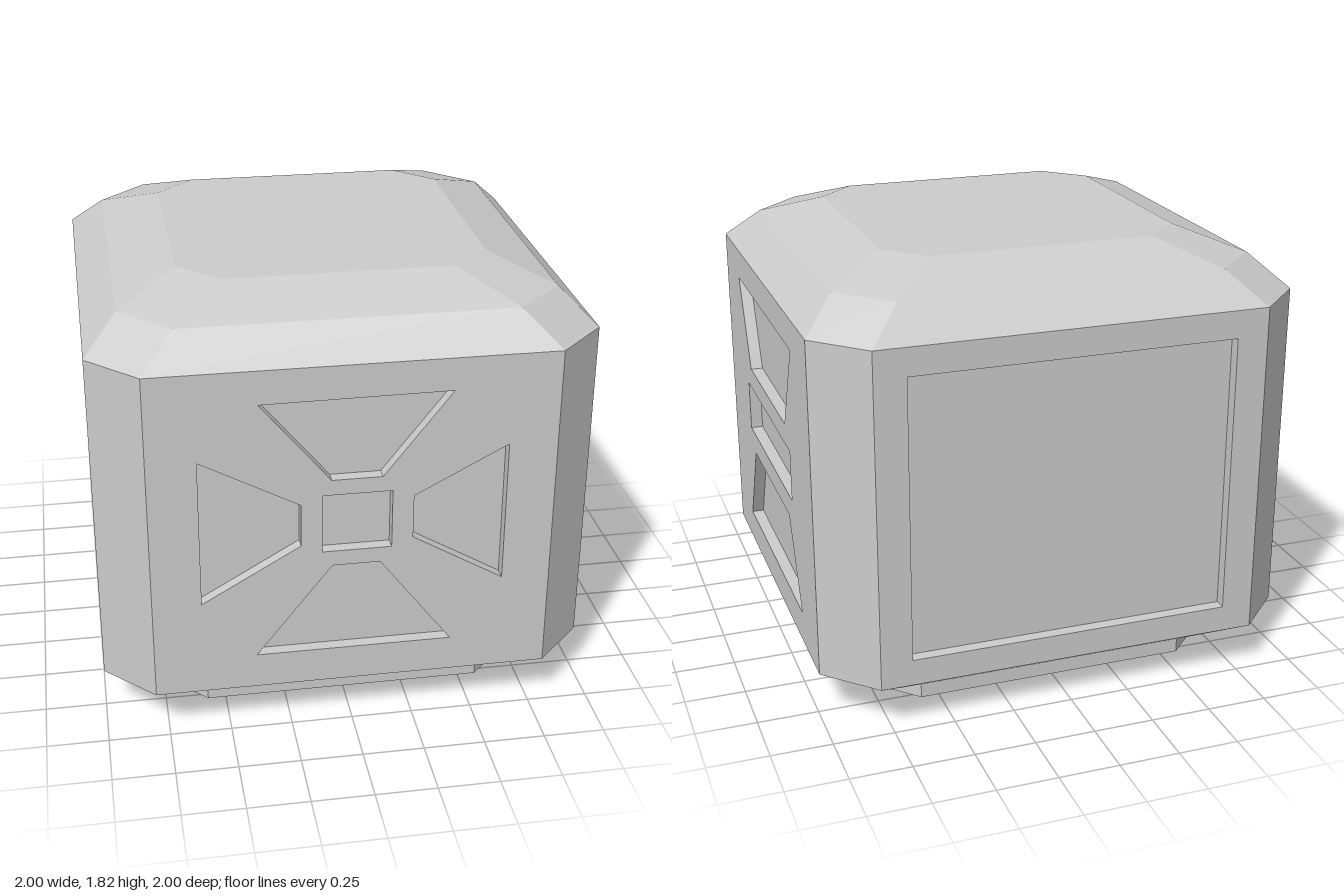
import * as THREE from 'three';

const material = new THREE.MeshStandardMaterial({ color: 0xcccccc, flatShading: true });
const DEPTH = 0.05;

function addMesh(parent, name, geometry) {
  const mesh = new THREE.Mesh(geometry, material);
  mesh.name = name;
  parent.add(mesh);
  return mesh;
}

function fromPoints(points) {
  const geometry = new THREE.BufferGeometry().setFromPoints(points);
  geometry.computeVertexNormals();
  return geometry;
}

// Square ring with cut corners: half width h, half length c of the straight edges
function ring(y, h, c) {
  return [[-c, h], [c, h], [h, c], [h, -c], [c, -h], [-c, -h], [-h, -c], [-h, c]]
    .map(([x, z]) => new THREE.Vector3(x, y, z));
}

// Skin between rings listed from bottom to top, with optional caps
function loft(rings, { cornersOnly = false, top = false, bottom = false } = {}) {
  const pts = [];
  for (let r = 0; r < rings.length - 1; r++) {
    const lo = rings[r], hi = rings[r + 1];
    for (let i = 0; i < 8; i++) {
      if (cornersOnly && i % 2 === 0) continue;
      const j = (i + 1) % 8;
      pts.push(lo[i], lo[j], hi[j], lo[i], hi[j], hi[i]);
    }
  }
  const first = rings[0], last = rings[rings.length - 1];
  for (let i = 1; i < 7; i++) {
    if (top) pts.push(last[0], last[i], last[i + 1]);
    if (bottom) pts.push(first[0], first[i + 1], first[i]);
  }
  return fromPoints(pts);
}

// Clockwise outlines of the recesses
const rect = (x0, x1, y0, y1) => [[x0, y1], [x1, y1], [x1, y0], [x0, y0]];
const crossRecesses = [
  [[-0.37, 1.46], [0.38, 1.465], [0.11, 1.12], [-0.09, 1.12]],
  [[-0.605, 1.235], [-0.21, 1.02], [-0.21, 0.84], [-0.605, 0.61]],
  [[0.235, 1.025], [0.605, 1.22], [0.605, 0.62], [0.235, 0.84]],
  [[-0.085, 0.74], [0.105, 0.74], [0.4, 0.35], [-0.39, 0.35]],
  rect(-0.125, 0.15, 0.805, 1.055),
];
const barRecesses = [
  [[-0.52, 1.47], [0.52, 1.47], [0.345, 1.1], [-0.345, 1.1]],
  rect(-0.42, 0.42, 0.795, 1.01),
  [[-0.345, 0.7], [0.345, 0.7], [0.52, 0.335], [-0.52, 0.335]],
];
const panelRecess = [rect(-0.67, 0.67, 0.31, 1.485)];

// One flat wall with sunken recesses, turned to face its side
function addWall(parent, name, outlines, angle) {
  const wall = new THREE.Group();
  wall.name = name;
  const toShape = (o) => new THREE.Shape(o.map(([x, y]) => new THREE.Vector2(x, y)));
  const face = toShape(rect(-0.8, 0.8, 0.2, 1.6));
  face.holes = outlines.map(toShape);
  addMesh(wall, name + 'Face', new THREE.ShapeGeometry(face).translate(0, 0, 1));
  addMesh(wall, name + 'RecessFloor', new THREE.ShapeGeometry(outlines.map(toShape)).translate(0, 0, 1 - DEPTH));
  const pts = [];
  for (const outline of outlines) {
    outline.forEach(([x, y], i) => {
      const [u, v] = outline[(i + 1) % outline.length];
      const a = new THREE.Vector3(x, y, 1), b = new THREE.Vector3(u, v, 1);
      const aIn = new THREE.Vector3(x, y, 1 - DEPTH), bIn = new THREE.Vector3(u, v, 1 - DEPTH);
      pts.push(a, bIn, b, a, aIn, bIn);
    });
  }
  addMesh(wall, name + 'RecessEdges', fromPoints(pts));
  wall.rotation.y = angle;
  parent.add(wall);
}

export function createModel() {
  const model = new THREE.Group();
  model.name = 'bevelledBox';

  // Foot and lower bevel
  addMesh(model, 'foot', loft([ring(0, 0.78, 0.575), ring(0.06, 0.78, 0.575)], { bottom: true }));
  addMesh(model, 'lowerBevel', loft([ring(0.06, 0.78, 0.575), ring(0.2, 1, 0.8)]));

  // Cut corners between the four walls
  addMesh(model, 'cornerPosts', loft([ring(0.2, 1, 0.8), ring(1.6, 1, 0.8)], { cornersOnly: true }));

  // Walls
  addWall(model, 'frontWall', crossRecesses, 0);
  addWall(model, 'leftWall', barRecesses, Math.PI / 2);
  addWall(model, 'backWall', panelRecess, Math.PI);
  addWall(model, 'rightWall', panelRecess, -Math.PI / 2);

  // Stepped bevel lid
  addMesh(model, 'lid', loft(
    [ring(1.6, 1, 0.8), ring(1.73, 0.865, 0.665), ring(1.82, 0.62, 0.46)], { top: true }));

  return model;
}
